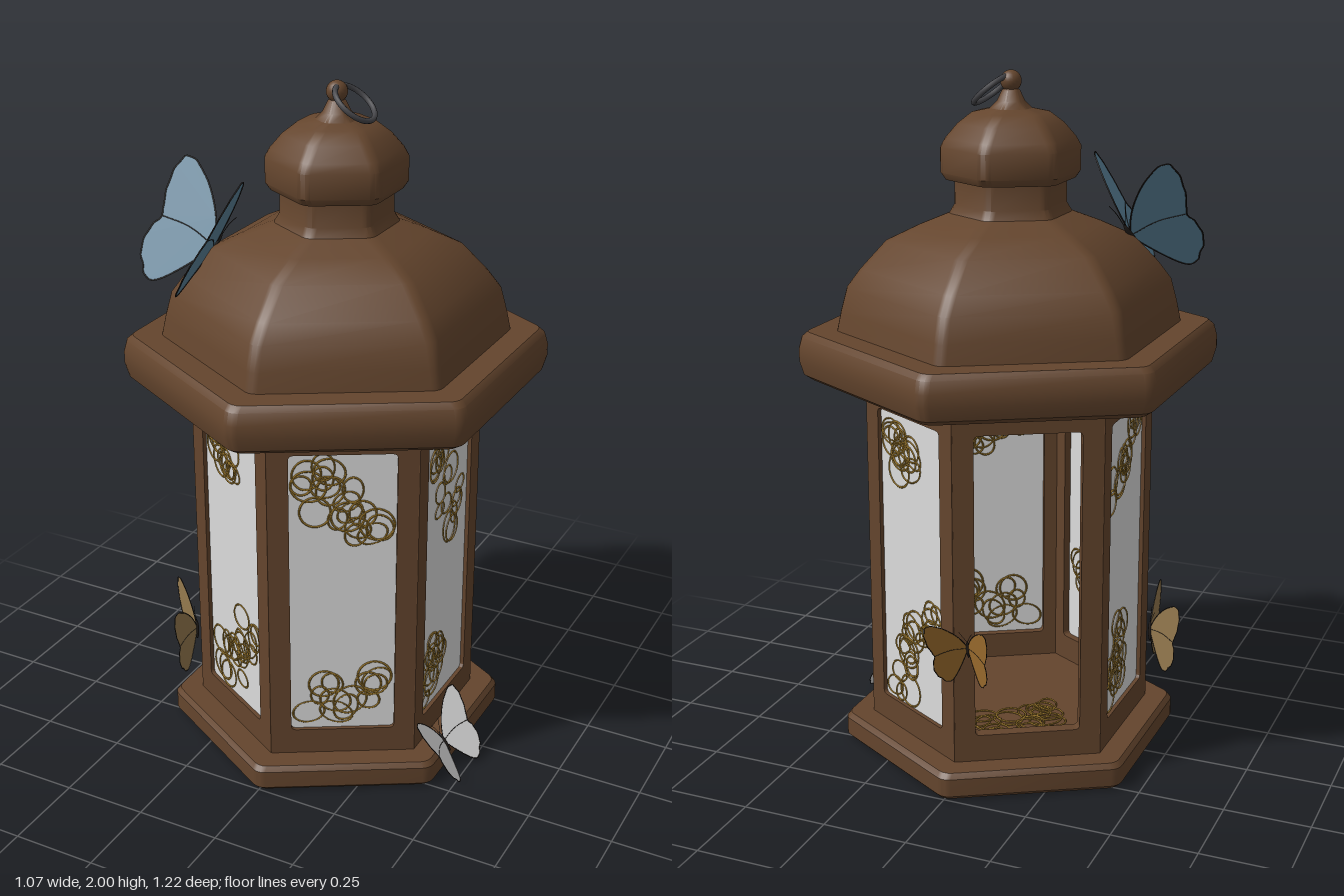
import * as THREE from 'three';
import { toCreasedNormals, mergeGeometries } from 'three/addons/utils/BufferGeometryUtils.js';

const mat = (name, color) => {
  const m = new THREE.MeshStandardMaterial({ color, side: THREE.DoubleSide });
  m.name = name;
  return m;
};

export function createModel() {
  const brown = mat('brown metal', 0x64452d);
  const glass = mat('frosted glass', 0xdcdcdc);
  const gold = mat('gold filigree', 0x94722a);
  const iron = mat('dark iron', 0x46464a);
  const dark = mat('butterfly dark', 0x221d1a);
  const blue = mat('blue wing', 0x5c849c);
  const white = mat('white wing', 0xe2e2e2);
  const orange = mat('orange wing', 0xa0702f);
  const tan = mat('tan wing', 0x94794e);

  const model = new THREE.Group();
  model.name = 'lantern';
  const add = (parent, name, geo, material) => {
    const m = new THREE.Mesh(geo, material);
    m.name = name;
    parent.add(m);
    return m;
  };

  let seed = 7;
  const rand = () => (seed = (seed * 16807) % 2147483647) / 2147483647;

  // Sweeps a [radius, y] profile around a hexagon with rounded corners
  const hexLathe = (profile, round = 0.04) => {
    const pos = [], index = [], n = 24;
    for (const [r, y] of profile) {
      const c = Math.min(round, r * 0.4);
      const reach = r - c / Math.cos(Math.PI / 6) + c * 0.155;
      for (let i = 0; i < 6; i++) for (let k = 0; k < 4; k++) {
        const a = i * Math.PI / 3, b = a + (k - 1.5) * Math.PI / 9;
        pos.push(reach * Math.sin(a) + c * Math.sin(b), y, reach * Math.cos(a) + c * Math.cos(b));
      }
    }
    for (let j = 0; j < profile.length - 1; j++) for (let i = 0; i < n; i++) {
      const a = j * n + i, b = j * n + (i + 1) % n;
      if (profile[j][0] > 0) index.push(a, b, b + n);
      if (profile[j + 1][0] > 0) index.push(a, b + n, a + n);
      if (profile[j + 1][0] === 0 && profile[j][0] > 0) continue;
    }
    const g = new THREE.BufferGeometry();
    g.setAttribute('position', new THREE.Float32BufferAttribute(pos, 3));
    g.setIndex(index);
    return toCreasedNormals(g, 0.6);
  };

  // Base and roof
  add(model, 'base', hexLathe([[0, 0], [0.49, 0], [0.503, 0.012], [0.503, 0.065], [0.49, 0.08], [0, 0.08]]), brown);
  add(model, 'roofBrim', hexLathe([[0, 1.135], [0.575, 1.135], [0.598, 1.15], [0.61, 1.19],
    [0.61, 1.225], [0.6, 1.26], [0.582, 1.275], [0, 1.275]]), brown);
  add(model, 'roofDome', hexLathe([[0.5, 1.27], [0.487, 1.33], [0.468, 1.4], [0.43, 1.45], [0.355, 1.53],
    [0.26, 1.573], [0.175, 1.605], [0.16, 1.63], [0.16, 1.71]]), brown);
  add(model, 'roofCap', hexLathe([[0, 1.7], [0.185, 1.7], [0.199, 1.72], [0.199, 1.79], [0.185, 1.815],
    [0.15, 1.855], [0.11, 1.885], [0.06, 1.895], [0.04, 1.915], [0.025, 1.945], [0, 1.96]]), brown);
  add(model, 'finialBall', new THREE.SphereGeometry(0.03, 20, 14), brown).position.y = 1.97;
  const ring = add(model, 'hangingRing', new THREE.TorusGeometry(0.065, 0.008, 8, 36).rotateX(Math.PI / 2), iron);
  ring.position.set(0.057, 1.945, 0.005);
  ring.rotation.z = -0.685;

  // Wall frame: one extruded side with a rounded window
  const half = 0.21, wallBottom = 0.075, wallTop = 1.14, depth = 0.035, apothem = 0.366;
  const frameShape = new THREE.Shape([[-half, wallBottom], [half, wallBottom], [half, wallTop], [-half, wallTop]]
    .map(p => new THREE.Vector2(...p)));
  const w = 0.151, lo = 0.16, hi = 1.057, q = 0.015;
  const hole = new THREE.Path();
  hole.moveTo(-w + q, lo);
  hole.lineTo(w - q, lo).quadraticCurveTo(w, lo, w, lo + q);
  hole.lineTo(w, hi - q).quadraticCurveTo(w, hi, w - q, hi);
  hole.lineTo(-w + q, hi).quadraticCurveTo(-w, hi, -w, hi - q);
  hole.lineTo(-w, lo + q).quadraticCurveTo(-w, lo, -w + q, lo);
  frameShape.holes.push(hole);
  const frameGeo = new THREE.ExtrudeGeometry(frameShape, { depth, bevelEnabled: false, curveSegments: 4 });

  // Filigree: overlapping wire loops scattered along a line from (u0,v0) to (u1,v1)
  const filigree = (u0, v0, u1, v1, count, spread) => {
    const loops = [];
    for (let i = 0; i < count; i++) {
      const t = i / (count - 1), r = 0.03 + rand() * 0.022, s = 0.65 + rand() * 0.35;
      const lim = 0.146 - r;
      const u = THREE.MathUtils.clamp(u0 + (u1 - u0) * t + (rand() - 0.5) * spread, -lim, lim);
      const v = THREE.MathUtils.clamp(v0 + (v1 - v0) * t + (rand() - 0.5) * spread, lo + r, hi - r);
      loops.push(new THREE.TorusGeometry(r, 0.0032, 4, 24).scale(1, s, 1).rotateZ(rand() * 3).translate(u, v, 0));
    }
    return mergeGeometries(loops);
  };

  // Sides, starting at the front left face; the fourth window is open
  const clusters = [
    [[-0.1, 1.0, 0.1, 0.78, 20, 0.14], [-0.05, 0.24, 0.08, 0.33, 13, 0.1]],
    [[-0.11, 1.02, 0.1, 0.71, 17, 0.12], [-0.1, 0.23, -0.04, 0.34, 13, 0.1]],
    [[-0.1, 1.0, -0.02, 0.93, 13, 0.1], [-0.09, 0.22, 0.08, 0.48, 20, 0.14]],
    null,
    [[0.1, 1.0, -0.08, 0.84, 16, 0.12], [-0.1, 0.22, 0.03, 0.4, 17, 0.12]],
    [[-0.1, 1.0, 0.0, 0.95, 14, 0.1], [-0.1, 0.22, 0.11, 0.42, 20, 0.12]],
  ];
  clusters.forEach((list, i) => {
    const side = new THREE.Group();
    side.name = 'side' + (i + 1);
    side.rotation.y = Math.PI / 6 + i * Math.PI / 3;
    add(side, 'windowFrame', frameGeo, brown).position.z = apothem - depth;
    if (list) {
      const pane = add(side, 'windowPane', new THREE.PlaneGeometry(2 * w + 0.004, hi - lo + 0.004), glass);
      pane.position.set(0, (lo + hi) / 2, apothem - 0.012);
      for (const c of list) add(side, 'filigree', filigree(...c), gold).position.z = apothem - 0.012;
    }
    model.add(side);
  });

  // Fallen filigree lying on the floor inside
  const floorWire = filigree(-0.1, 0.35, 0.1, 0.45, 22, 0.2).translate(0, -0.4, 0).rotateX(-Math.PI / 2);
  const floorMesh = add(model, 'floorFiligree', floorWire, gold);
  floorMesh.position.set(-0.08, 0.084, -0.14);
  floorMesh.rotation.y = Math.PI / 6;

  // Butterflies: local x is out along the wing, y towards the head, z away from the surface
  const outline = [[0.004, 0.012], [0.05, 0.085], [0.12, 0.15], [0.185, 0.182], [0.215, 0.168], [0.218, 0.11],
    [0.2, 0.045], [0.178, -0.005], [0.188, -0.05], [0.18, -0.11], [0.15, -0.15], [0.118, -0.178],
    [0.085, -0.162], [0.045, -0.1], [0.006, -0.02]];
  const edge = new THREE.CatmullRomCurve3(outline.map(([x, y]) => new THREE.Vector3(x, y, 0)), true, 'catmullrom', 0.5);
  // Lightly scalloped outer margin
  const wingPoints = edge.getPoints(90).map((p, i) => {
    const k = p.x > 0.1 ? 1 - 0.018 * Math.abs(Math.sin(i * 0.55)) : 1;
    return new THREE.Vector3(p.x * k, p.y * k, 0);
  });
  const wingGeo = new THREE.ShapeGeometry(new THREE.Shape(wingPoints.map(p => new THREE.Vector2(p.x, p.y))));
  const rimGeo = new THREE.TubeGeometry(new THREE.CatmullRomCurve3(wingPoints, true), 120, 0.0022, 4, true);
  const veinGeo = new THREE.TubeGeometry(new THREE.CatmullRomCurve3([[0, 0], [0.09, 0.01], [0.178, -0.005]]
    .map(([x, y]) => new THREE.Vector3(x, y, 0))), 10, 0.0014, 4);

  const butterfly = (name, material, at, head, out, scale, lift) => {
    const g = new THREE.Group();
    g.name = name;
    const y = new THREE.Vector3(...head).normalize(), z = new THREE.Vector3(...out).normalize();
    const x = new THREE.Vector3().crossVectors(y, z).normalize();
    z.crossVectors(x, y);
    g.quaternion.setFromRotationMatrix(new THREE.Matrix4().makeBasis(x, y, z));
    g.position.set(...at);
    g.scale.setScalar(scale);
    for (const s of [1, -1]) {
      const half = new THREE.Group(), wing = new THREE.Group();
      half.name = s > 0 ? 'leftHalf' : 'rightHalf';
      half.scale.x = s;
      wing.name = 'wing';
      wing.rotation.y = -lift;
      add(wing, 'wingSurface', wingGeo, material);
      add(wing, 'wingRim', rimGeo, dark);
      add(wing, 'wingVein', veinGeo, dark);
      half.add(wing);
      const feeler = new THREE.CatmullRomCurve3([[0.002, 0.04, 0], [0.02, 0.075, 0.01], [0.035, 0.1, 0.012]]
        .map(p => new THREE.Vector3(...p)));
      add(half, 'antenna', new THREE.TubeGeometry(feeler, 8, 0.0013, 4), dark);
      g.add(half);
    }
    add(g, 'body', new THREE.SphereGeometry(0.01, 10, 8).scale(0.9, 5.2, 0.9), dark).position.y = -0.008;
    model.add(g);
  };
  butterfly('blueButterfly', blue, [-0.305, 1.53, 0.16], [0.32, 0.77, -0.55], [-0.385, 0.64, 0.667], 1, 0.72);
  butterfly('whiteButterfly', white, [0.432, 0.088, 0.14], [-0.6, 0.8, 0], [0.8, 0.6, 0], 0.63, 0.33);
  butterfly('orangeButterfly', orange, [-0.045, 0.445, -0.425], [0, 1, -0.2], [0, 0.2, -1], 0.55, 0.66);
  butterfly('tanButterfly', tan, [-0.373, 0.295, 0.22], [0, 1, 0], [-0.866, 0, 0.5], 0.64, 0.45);

  return model;
}
